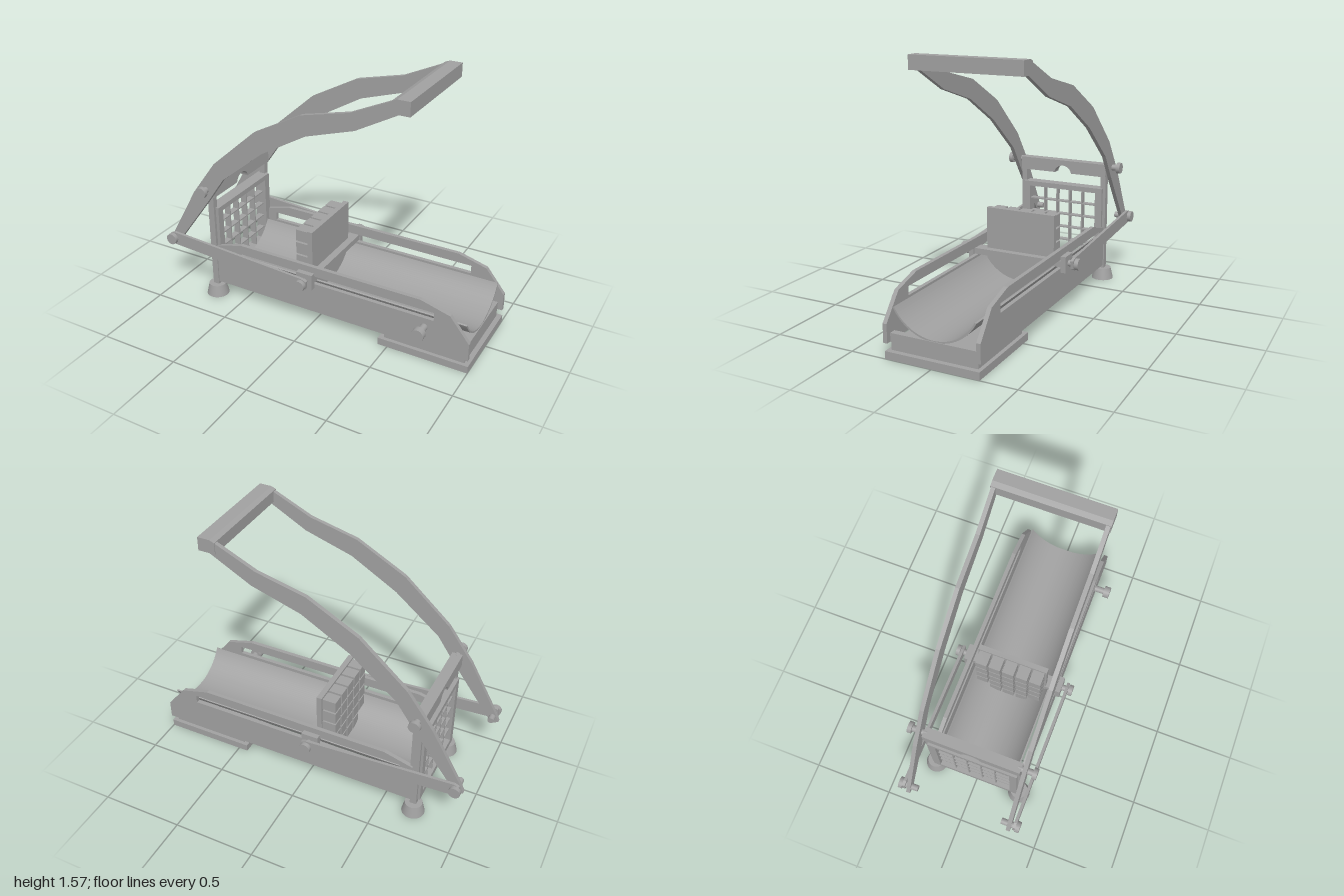
import * as THREE from 'three';

export function createModel() {
  const model = new THREE.Group();
  const steel = new THREE.MeshStandardMaterial({ color: 0xa0a0a0 });
  steel.name = 'brushed steel';

  function add(name, geo, parent = model) {
    const mesh = new THREE.Mesh(geo, steel);
    mesh.name = name;
    parent.add(mesh);
    return mesh;
  }
  function box(name, x0, x1, y0, y1, z0, z1, parent) {
    const g = new THREE.BoxGeometry(x1 - x0, y1 - y0, z1 - z0);
    g.translate((x0 + x1) / 2, (y0 + y1) / 2, (z0 + z1) / 2);
    return add(name, g, parent);
  }
  const shapeOf = pts => new THREE.Shape(pts.map(p => new THREE.Vector2(...p)));
  const pathOf = pts => new THREE.Path(pts.map(p => new THREE.Vector2(...p)));
  const rect = (a, b, c, d) => [[a, c], [b, c], [b, d], [a, d]];
  // side profile (x, y) given thickness from z0 to z1
  function sidePlate(name, pts, z0, z1, hole) {
    const s = shapeOf(pts);
    if (hole) s.holes.push(pathOf(hole));
    const g = new THREE.ExtrudeGeometry(s, { depth: z1 - z0, bevelEnabled: false });
    return add(name, g.translate(0, 0, z0));
  }
  // end profile (z, y) given thickness from x0 to x1
  function crossPlate(name, shape, x0, x1) {
    const g = new THREE.ExtrudeGeometry(shape, { depth: x1 - x0, bevelEnabled: false, curveSegments: 24 });
    return add(name, g.rotateY(Math.PI / 2).translate(x0, 0, 0));
  }
  // headed pin lying along z on one side of the machine
  function bolt(name, x, y, side, zIn, zOut, r, headLen = 0.025) {
    const pin = new THREE.Group();
    pin.name = name;
    const cyl = (n, rad, a, b) => add(n, new THREE.CylinderGeometry(rad, rad, b - a, 24)
      .rotateX(Math.PI / 2).translate(x, y, side * (a + b) / 2), pin);
    cyl('shaft', r * 0.55, zIn, zOut);
    cyl('head', r, zOut - headLen, zOut);
    model.add(pin);
  }

  // base pad, hollow underneath
  const pad = shapeOf(rect(0.44, 1, -0.285, 0.285));
  pad.holes.push(pathOf(rect(0.49, 0.95, -0.235, 0.235)));
  add('basePad', new THREE.ExtrudeGeometry(pad, { depth: 0.045, bevelEnabled: false })
    .rotateX(-Math.PI / 2));
  box('baseUpper', 0.47, 0.97, 0.03, 0.09, -0.262, 0.262);
  box('frontCrossbar', 0.93, 0.97, 0.09, 0.14, -0.27, 0.27);

  // lever, link and wall profiles
  const wall = [[-0.72, 0.09], [1, 0.09], [1, 0.2], [0.88, 0.35], [0.7, 0.4], [-0.5, 0.4], [-0.68, 0.35], [-0.72, 0.33]];
  const slot = rect(-0.6, 0.785, 0.287, 0.34);
  const lever = [[-1, 0.335], [-0.97, 0.32], [-0.94, 0.335], [-0.68, 0.69], [-0.57, 0.85], [-0.29, 1.08],
    [0, 1.25], [0.3, 1.345], [0.56, 1.488], [0.61, 1.49], [0.61, 1.565], [0.52, 1.555],
    [0.27, 1.44], [-0.03, 1.367], [-0.34, 1.2], [-0.63, 0.94], [-0.79, 0.72], [-0.97, 0.4]];
  const link = [[-0.985, 0.335], [-0.96, 0.325], [-0.03, 0.27], [0.0, 0.285], [0.005, 0.335], [-0.03, 0.348],
    [-0.95, 0.407], [-0.98, 0.395]];
  const mirrored = (name, pts, a, b, hole) => {
    sidePlate('left' + name, pts, a, b, hole);
    sidePlate('right' + name, pts, -b, -a, hole);
  };
  mirrored('SideWall', wall, 0.268, 0.293, slot);
  mirrored('Lever', lever, 0.312, 0.337);
  mirrored('Link', link, 0.348, 0.366);

  for (const s of [1, -1]) {
    const span = (a, b) => (s > 0 ? [a, b] : [-b, -a]);
    box('post', -0.72, -0.68, 0.06, 0.72, ...span(0.265, 0.3));
    box('slideBlock', -0.085, 0.02, 0.26, 0.36, ...span(0.293, 0.325));
    add('foot', new THREE.CylinderGeometry(0.053, 0.07, 0.072, 32).translate(-0.7, 0.036, s * 0.285));
    bolt('linkPin', -0.96, 0.365, s, 0.27, 0.39, 0.035);
    bolt('leverPivot', -0.7, 0.755, s, 0.28, 0.395, 0.035);
    bolt('sliderPin', -0.03, 0.31, s, 0.29, 0.395, 0.035);
  }
  bolt('lockKnob', 0.73, 0.23, 1, 0.28, 0.395, 0.038, 0.04);

  // grip joining both levers
  sidePlate('handle', [[0.51, 1.485], [0.615, 1.485], [0.615, 1.567], [0.54, 1.567], [0.51, 1.555]], -0.342, 0.342);

  // notched bar across the posts
  const bar = new THREE.Shape();
  bar.moveTo(-0.3, 0.69);
  bar.lineTo(-0.06, 0.69);
  bar.absarc(0, 0.678, 0.061, Math.PI * 0.95, Math.PI * 0.05, true);
  bar.lineTo(0.06, 0.69);
  bar.lineTo(0.3, 0.69);
  bar.lineTo(0.3, 0.773);
  bar.lineTo(-0.3, 0.773);
  crossPlate('topBar', bar, -0.735, -0.67);

  // cutting frame with blade grid
  const frame = shapeOf(rect(-0.282, 0.282, 0.1, 0.612));
  frame.holes.push(pathOf(rect(-0.235, 0.235, 0.14, 0.58)));
  crossPlate('cuttingFrame', frame, -0.735, -0.66);
  for (let i = 1; i < 5; i++) {
    const z = -0.225 + i * 0.09, y = 0.14 + i * 0.088;
    box('verticalBlade', -0.72, -0.68, 0.13, 0.59, z - 0.004, z + 0.004);
    box('horizontalBlade', -0.72, -0.68, y - 0.004, y + 0.004, -0.24, 0.24);
  }

  // curved trough
  const R = 0.283, cy = 0.418, half = Math.asin(0.25 / R);
  const a0 = -Math.PI / 2 - half, a1 = -Math.PI / 2 + half;
  const trough = new THREE.Shape();
  trough.absarc(0, cy, R, a0, a1, false);
  trough.absarc(0, cy, R - 0.01, a1, a0, true);
  const tray = crossPlate('trough', trough, -0.655, 0.965);
  tray.name = 'trough';

  // pusher with its block grid
  box('pusherPlate', -0.065, -0.032, 0.14, 0.585, -0.225, 0.225);
  box('pusherBar', -0.07, 0.012, 0.29, 0.327, -0.31, 0.31);
  for (let row = 0; row < 5; row++) {
    for (let col = -2; col <= 2; col++) {
      if (row === 4 && Math.abs(col) === 2) continue;
      const y = 0.535 - row * 0.086, z = col * 0.088;
      box('pusherBlock', -0.15, -0.06, y - 0.037, y + 0.037, z - 0.037, z + 0.037);
    }
  }
  return model;
}
